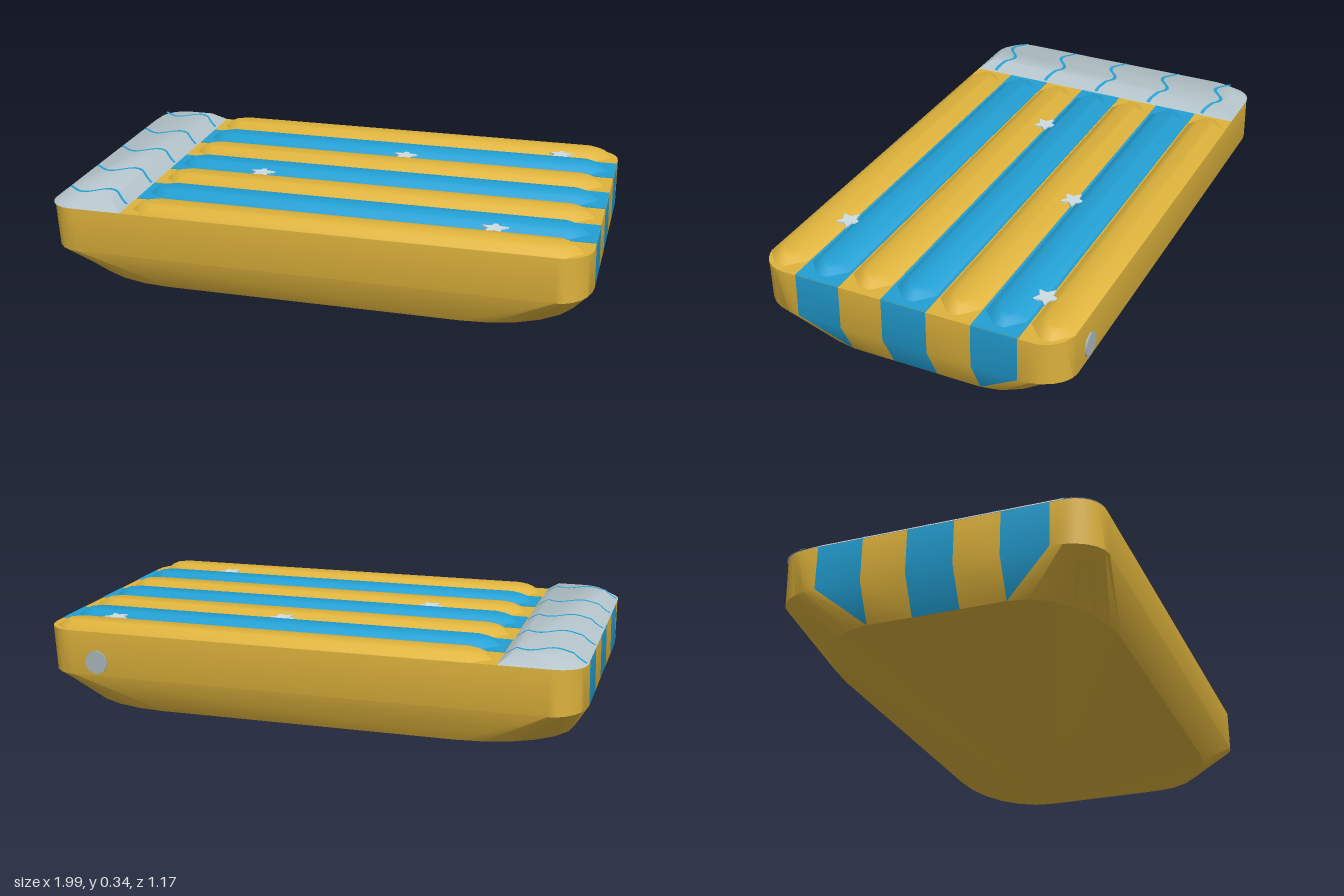
import * as THREE from 'three';
import { toCreasedNormals } from 'three/addons/utils/BufferGeometryUtils.js';

const mat = (name, color, side = THREE.FrontSide) => {
  const m = new THREE.MeshStandardMaterial({ color, side });
  m.name = name;
  return m;
};

// Skin between stacked loops, capped at both ends; accent columns go in material group 1
function loft(loops, accent = [], crease = 0.7) {
  const main = [], second = [];
  const tri = (list, ...pts) => pts.forEach((p) => list.push(p.x, p.y, p.z));
  const n = loops[0].length;
  for (let k = 0; k < loops.length - 1; k++) {
    for (let i = 0; i < n; i++) {
      const j = (i + 1) % n, lo = loops[k], hi = loops[k + 1];
      const list = accent.includes(i) ? second : main;
      tri(list, lo[i], hi[i], hi[j]);
      tri(list, lo[i], hi[j], lo[j]);
    }
  }
  const bottom = loops[0], top = loops[loops.length - 1];
  for (let i = 1; i < n - 1; i++) {
    tri(main, top[0], top[i + 1], top[i]);
    tri(main, bottom[0], bottom[i], bottom[i + 1]);
  }
  const g = new THREE.BufferGeometry();
  g.setAttribute('position', new THREE.Float32BufferAttribute([...main, ...second], 3));
  g.addGroup(0, main.length / 3, 0);
  if (second.length) g.addGroup(main.length / 3, second.length / 3, 1);
  return toCreasedNormals(g, crease);
}

const V = (x, y, z) => new THREE.Vector3(x, y, z);

// Quarter ellipse from angle a0, six segments
function arc(cx, cz, rx, rz, a0, y) {
  return Array.from({ length: 7 }, (_, i) => {
    const a = a0 + (i / 6) * Math.PI / 2;
    return V(cx + rx * Math.cos(a), y, cz + rz * Math.sin(a));
  });
}

// Rounded body outline, with points on both ends at the stripe edges
function bodyLoop(y, X, Z, rx, rz) {
  const zs = Z - rz, xs = X - rx;
  const edges = [-0.42, -0.25, -0.085, 0.085, 0.25, 0.42].map((z) => Math.max(-zs, Math.min(zs, z)));
  return [
    ...edges.map((z) => V(X, y, z)),
    ...arc(xs, zs, rx, rz, 0, y),
    ...arc(-xs, zs, rx, rz, Math.PI / 2, y),
    ...edges.map((z) => V(-X, y, -z)),
    ...arc(-xs, -zs, rx, rz, Math.PI, y),
    ...arc(xs, -zs, rx, rz, Math.PI * 1.5, y),
  ];
}

// Long eight-sided outline of an air chamber
function chamberLoop(y, L, w, tip, cut) {
  return [[L, -tip], [L, tip], [L - cut, w], [cut - L, w], [-L, tip], [-L, -tip], [cut - L, -w], [L - cut, -w]]
    .map(([x, z]) => V(x, y, z));
}

const PX0 = -0.995, PX1 = -0.7, SLOPE = 0.05, RISE = 0.037, DECK = 0.3;

// Pillow outline, rounded on its outer corners
function pillowLoop(y, inset) {
  const r = 0.1, x0 = PX0 + inset, x1 = PX1 - inset, Z = 0.58 - inset;
  return [
    V(x1, y, -Z), V(x1, y, Z),
    ...arc(x0 + r, Z - r, r, r, Math.PI / 2, y),
    ...arc(x0 + r, r - Z, r, r, Math.PI, y),
  ];
}

export function createModel() {
  const group = new THREE.Group();
  const yellow = mat('yellow', 0xdeb33c);
  const blue = mat('blue', 0x229fd3);
  const grey = mat('pillow grey', 0xb5c5cb);
  const pale = mat('star pale grey', 0xccdde3);
  const valveGrey = mat('valve grey', 0xa9b4ba);
  const add = (name, geometry, material, x = 0, y = 0, z = 0) => {
    const m = new THREE.Mesh(geometry, material);
    m.name = name;
    m.position.set(x, y, z);
    group.add(m);
    return m;
  };

  // Hull with striped ends
  add('body', loft([
    bodyLoop(0, 0.93, 0.52, 0.38, 0.27),
    bodyLoop(0.135, 0.997, 0.585, 0.12, 0.165),
    bodyLoop(DECK, 0.993, 0.58, 0.11, 0.11),
  ], [0, 2, 4, 20, 22, 24]), [yellow, blue]);

  // Seven air chambers in alternating colours, with blue deck strips below
  const chamber = loft([
    chamberLoop(0, 0.815, 0.077, 0.02, 0.06),
    chamberLoop(0.021, 0.79, 0.051, 0.016, 0.05),
    chamberLoop(0.03, 0.77, 0.034, 0.01, 0.04),
  ]);
  for (let i = -3; i <= 3; i++) {
    const isBlue = i % 2 === 0, z = i * 0.168;
    add('airChamber', chamber, isBlue ? blue : yellow, 0.145, DECK, z);
    if (isBlue) add('deckStripe', new THREE.BoxGeometry(1.69, 0.004, 0.17), blue, 0.147, DECK, z);
  }

  // Pillow with wavy lines
  add('pillow', loft([pillowLoop(DECK, 0), pillowLoop(DECK + RISE, SLOPE)]), grey);
  for (let i = -2; i <= 2; i++) {
    const wave = new THREE.PlaneGeometry(0.285, 0.015, 48, 1).rotateX(-Math.PI / 2);
    const p = wave.attributes.position;
    for (let k = 0; k < p.count; k++) {
      const x = p.getX(k) + (PX0 + PX1) / 2;
      const t = Math.min(1, Math.min(x - PX0, PX1 - x) / SLOPE);
      p.setXYZ(k, x, DECK + RISE * t + 0.002, p.getZ(k) - 0.025 * Math.cos((x + 0.79) * Math.PI * 2 / 0.175));
    }
    wave.computeVertexNormals();
    add('pillowWave', wave, blue, 0, 0, i * 0.237);
  }

  // Small stars lying across the grooves
  const star = new THREE.Shape(Array.from({ length: 10 }, (_, i) => {
    const r = i % 2 ? 0.024 : 0.05, a = Math.PI / 2 + i * Math.PI / 5;
    return new THREE.Vector2(r * Math.cos(a), r * Math.sin(a));
  }));
  const starGeo = new THREE.ExtrudeGeometry(star, { depth: 0.006, bevelEnabled: false }).rotateX(-Math.PI / 2);
  for (const [x, z] of [[0.77, -0.42], [0.17, -0.252], [-0.32, 0.084], [0.64, 0.42]]) {
    add('star', starGeo, pale, x, 0.317, z);
  }

  // Air valve on the back side
  add('valve', new THREE.CylinderGeometry(0.045, 0.045, 0.012, 8).rotateX(Math.PI / 2), valveGrey, 0.78, 0.187, -0.583);

  return group;
}
